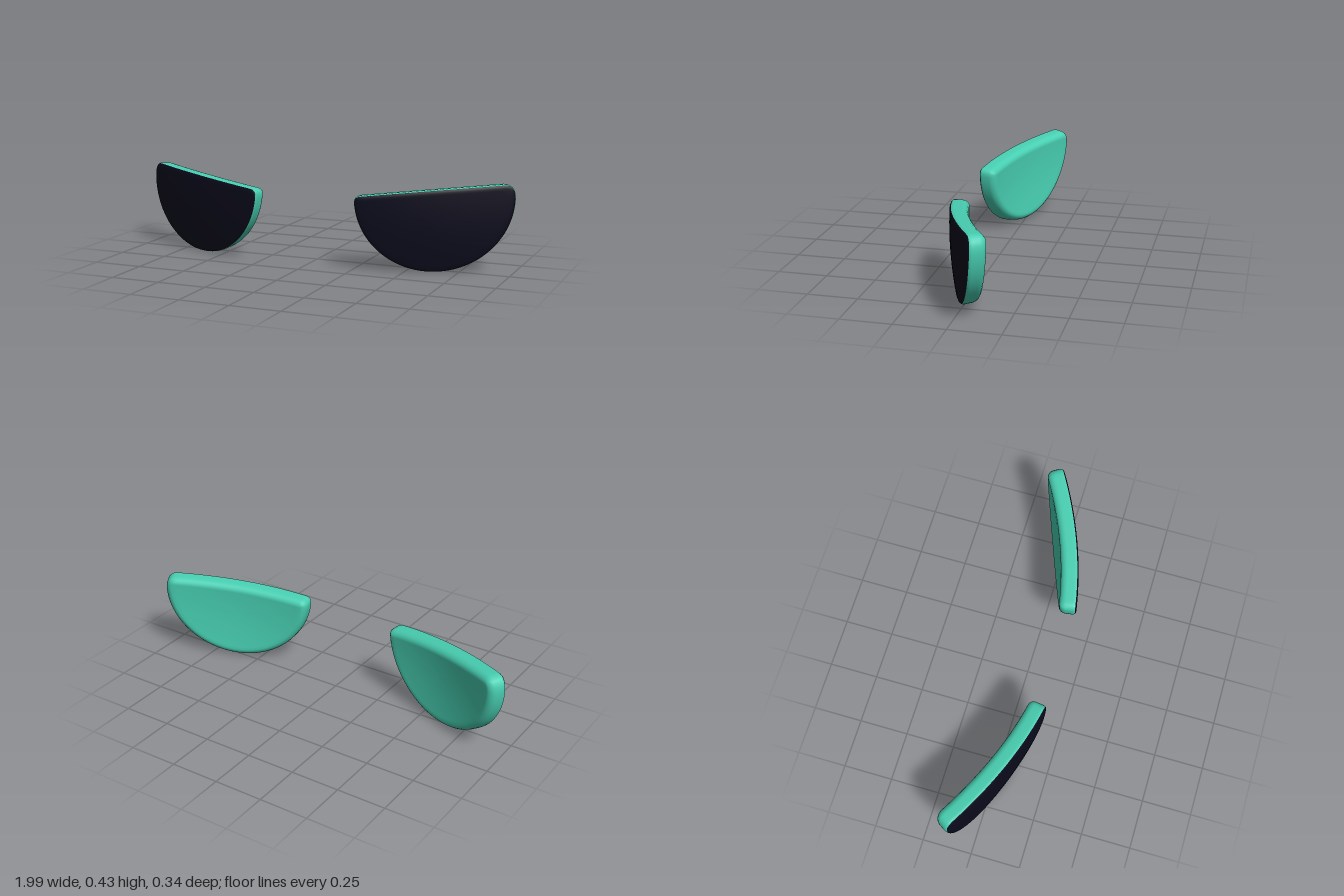
import * as THREE from 'three';

const SEGMENTS = 120;
const THICKNESS = 0.09;
const CENTRE = new THREE.Vector2(0.63, 0.25);

// Half-moon outline with a slanted top and rounded corners
function outline() {
  const s = new THREE.Shape();
  s.moveTo(0.295, 0.377);
  s.quadraticCurveTo(0.62, 0.416, 0.95, 0.437);
  s.quadraticCurveTo(0.997, 0.439, 1.0, 0.37);
  s.absarc(0.631, 0.37, 0.369, 0, -Math.PI + 0.08, true);
  s.quadraticCurveTo(0.26, 0.373, 0.295, 0.377);
  return s.getSpacedPoints(SEGMENTS).slice(0, SEGMENTS).reverse();
}

// Dome that the plate is bent over; depth runs along its normal
function bend(x, y, depth) {
  const u = x - 0.63, v = y - 0.3;
  const z = 0.08 - 0.376 * u - 0.3 * u * u - 0.3 * v * v;
  const n = new THREE.Vector3(0.376 + 0.6 * u, 0.6 * v, 1).normalize();
  return new THREE.Vector3(x, y, z).addScaledVector(n, -depth);
}

// Surface through rings given as [scale, inset, depth]
function ringSurface(rings, side) {
  const pts = outline(), pos = [], index = [];
  for (const [scale, inset, depth] of rings) {
    pts.forEach((p, i) => {
      const a = pts[(i + SEGMENTS - 1) % SEGMENTS], b = pts[(i + 1) % SEGMENTS];
      const t = b.clone().sub(a).normalize();
      const q = new THREE.Vector2(p.x - t.y * inset, p.y + t.x * inset);
      q.sub(CENTRE).multiplyScalar(scale).add(CENTRE);
      const w = bend(q.x, q.y, depth);
      pos.push(side * w.x, w.y, w.z);
    });
  }
  for (let j = 0; j < rings.length - 1; j++) {
    for (let i = 0; i < SEGMENTS; i++) {
      const k = (i + 1) % SEGMENTS;
      const a = j * SEGMENTS + i, b = a + SEGMENTS;
      const c = (j + 1) * SEGMENTS + k, d = j * SEGMENTS + k;
      if (side > 0) index.push(a, b, c, a, c, d);
      else index.push(a, c, b, a, d, c);
    }
  }
  const g = new THREE.BufferGeometry();
  g.setAttribute('position', new THREE.Float32BufferAttribute(pos, 3));
  g.setIndex(index);
  g.computeVertexNormals();
  return g;
}

export function createModel() {
  const dark = new THREE.MeshStandardMaterial({ color: 0x0b0a1c });
  dark.name = 'midnight';
  const teal = new THREE.MeshStandardMaterial({ color: 0x48cfb2 });
  teal.name = 'teal';

  const steps = [0.001, 0.2, 0.4, 0.6, 0.8, 0.93, 1];
  const front = [...steps.map(s => [s, 0.018, 0]), [1, 0.009, 0.002], [1, 0.004, 0.006]];
  const shell = [
    [1, 0.004, 0.006], [1, 0.001, 0.012], [1, 0, 0.02], [1, 0, 0.055],
    [1, 0.002, 0.067], [1, 0.008, 0.078], [1, 0.017, 0.086],
    ...steps.slice().reverse().map(s => [s, 0.028, THICKNESS]),
  ];

  const model = new THREE.Group();
  model.name = 'eyes';
  for (const side of [1, -1]) {
    const eye = new THREE.Group();
    eye.name = side > 0 ? 'leftEye' : 'rightEye';
    // Dark front face
    const face = new THREE.Mesh(ringSurface(front, side), dark);
    face.name = 'eyeFace';
    // Teal rim and back
    const back = new THREE.Mesh(ringSurface(shell, side), teal);
    back.name = 'eyeShell';
    eye.add(face, back);
    model.add(eye);
  }
  return model;
}
